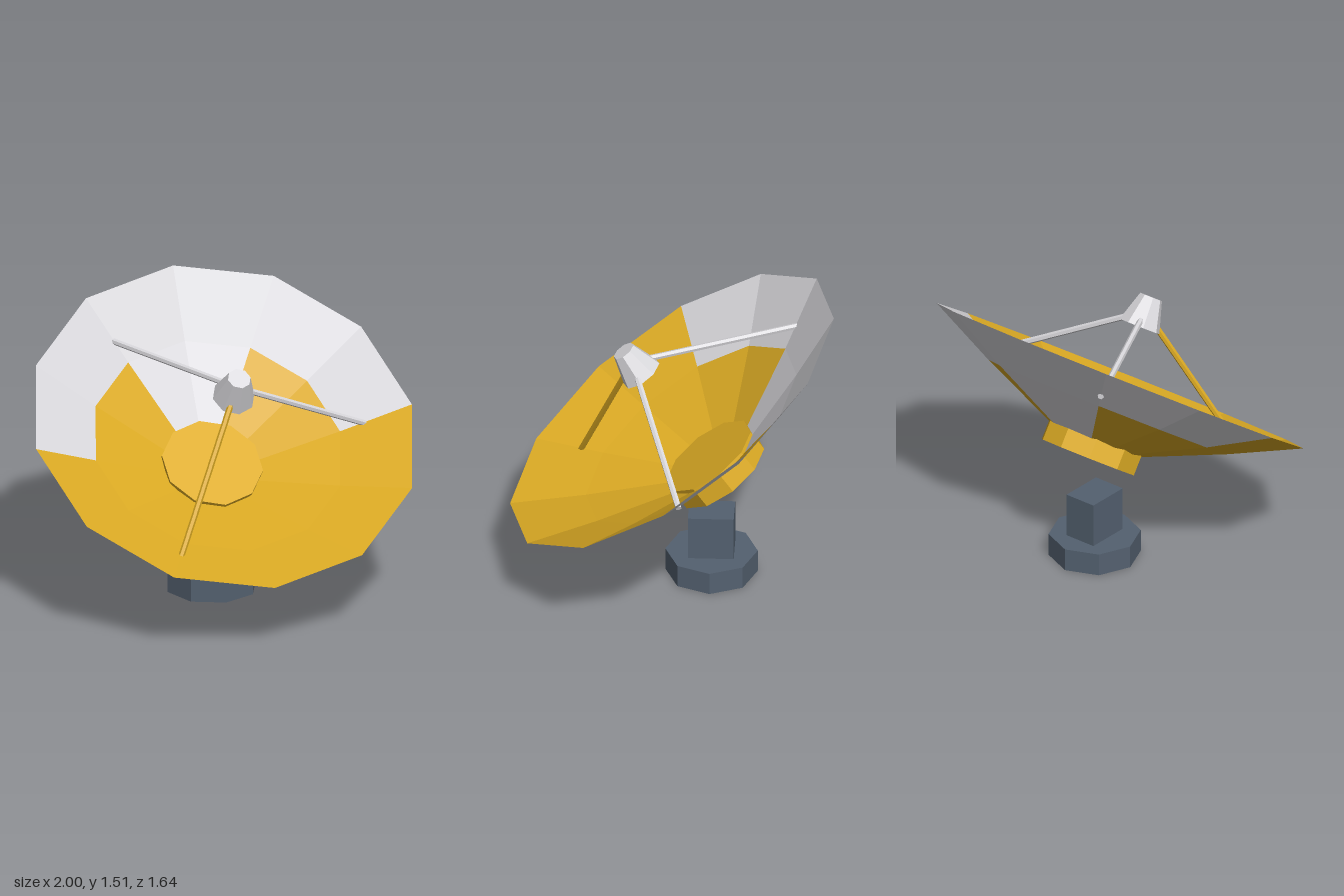
import * as THREE from 'three';

const flat = (name, color, side = THREE.FrontSide) =>
  new THREE.MeshStandardMaterial({ name, color, side, flatShading: true });

export function createModel() {
  const gold = flat('gold', 0xdcab24, THREE.DoubleSide);
  const white = flat('paleGrey', 0xdad9dd, THREE.DoubleSide);
  const slate = flat('slate', 0x546170);

  const model = new THREE.Group();
  model.name = 'satelliteDish';

  const add = (parent, name, geometry, material, x = 0, y = 0, z = 0) => {
    const mesh = new THREE.Mesh(geometry, material);
    mesh.name = name;
    mesh.position.set(x, y, z);
    parent.add(mesh);
    return mesh;
  };

  // Pedestal: octagonal foot and square post
  add(model, 'foot', new THREE.CylinderGeometry(0.234, 0.234, 0.12, 8), slate, 0, 0.06, -0.2);
  add(model, 'post', new THREE.BoxGeometry(0.176, 0.235, 0.232), slate, 0, 0.2375, -0.2);

  // Everything on the dish shares one tilted frame, centred on the rim
  const dish = new THREE.Group();
  dish.name = 'dish';
  dish.position.y = 0.94;
  dish.rotation.x = THREE.MathUtils.degToRad(35);
  model.add(dish);

  // Twelve-sided shell: two conical bands, each split into gold and pale gores
  const rim = new THREE.Vector2(1, 0);
  const middle = new THREE.Vector2(0.65, -0.17);
  const inner = new THREE.Vector2(0.24, -0.348);
  const gore = Math.PI / 6;
  const band = (name, low, high, firstGore, gores, material) =>
    add(dish, name, new THREE.LatheGeometry([low, high], gores, firstGore * gore, gores * gore), material);
  band('outerBandLower', middle, rim, -3, 6, gold);
  band('outerBandUpper', middle, rim, 3, 6, white);
  band('innerBandLower', inner, middle, -5, 10, gold);
  band('innerBandUpper', inner, middle, 5, 2, white);

  // Hub through the bottom of the shell
  add(dish, 'hub', new THREE.CylinderGeometry(0.26, 0.26, 0.12, 10), gold, 0, -0.382, 0);

  // Feed horn above the shell
  add(dish, 'feedHorn', new THREE.CylinderGeometry(0.06, 0.11, 0.16, 8), white, 0, 0.348, 0);

  // Three struts from the shell to the feed horn
  const top = new THREE.Vector3(0, 0.35, 0);
  const up = new THREE.Vector3(0, 1, 0);
  [[90, white], [210, white], [330, gold]].forEach(([degrees, material]) => {
    const a = THREE.MathUtils.degToRad(degrees);
    const foot = new THREE.Vector3(0.77 * Math.sin(a), -0.12, 0.77 * Math.cos(a));
    const span = top.clone().sub(foot);
    const strut = add(dish, 'strut', new THREE.CylinderGeometry(0.016, 0.016, span.length(), 6), material);
    strut.position.copy(foot).add(top).multiplyScalar(0.5);
    strut.quaternion.setFromUnitVectors(up, span.normalize());
  });

  return model;
}
